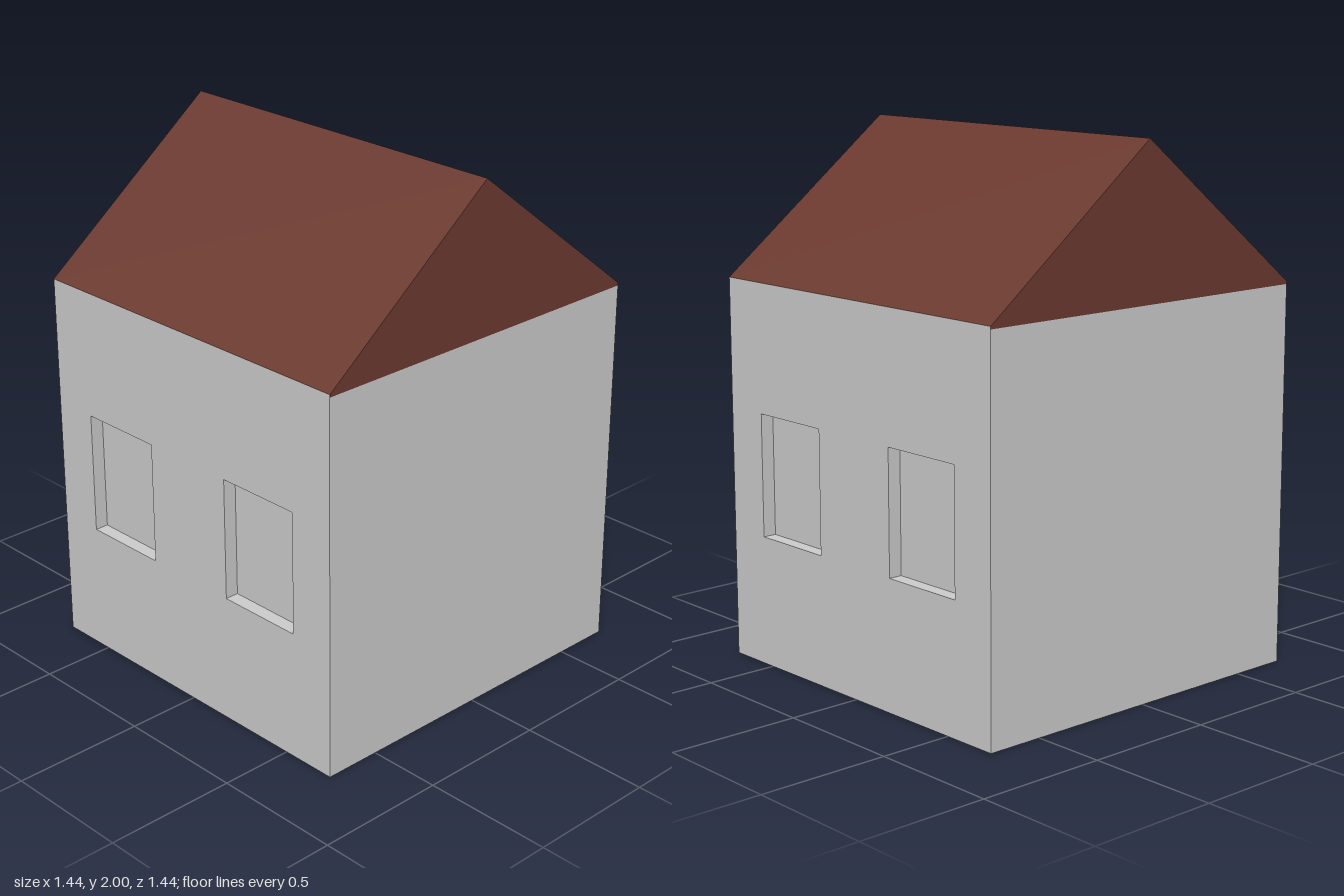
import * as THREE from 'three';
import { mergeGeometries } from 'three/addons/utils/BufferGeometryUtils.js';

const HALF = 0.72;          // half width and half depth of the house
const WALL_TOP = 1.442;
const GABLE_BASE = 1.432;
const RIDGE = 2;
const WINDOW = { z: 0.367, y: 0.724, w: 0.345, h: 0.465, depth: 0.052 };

// A flat panel facing +z, turned about x then y, then moved into place
function panel(w, h, [x, y, z], rx = 0, ry = 0) {
  return new THREE.PlaneGeometry(w, h).rotateX(rx).rotateY(ry).translate(x, y, z);
}

// Rectangle outline centred on (x, y)
function rect(Type, x, y, w, h) {
  const corners = [[-1, -1], [1, -1], [1, 1], [-1, 1]];
  return new Type(corners.map(([a, b]) => new THREE.Vector2(x + a * w / 2, y + b * h / 2)));
}

// Wall facing +z with two recessed windows
function windowWall() {
  const { z: offset, y, w, h, depth: d } = WINDOW;
  const shape = rect(THREE.Shape, 0, WALL_TOP / 2, HALF * 2, WALL_TOP);
  const recesses = [];
  for (const x of [-offset, offset]) {
    shape.holes.push(rect(THREE.Path, x, y, w, h));
    const mid = HALF - d / 2;
    recesses.push(
      panel(w, h, [x, y, HALF - d]),                              // pane
      panel(w, d, [x, y - h / 2, mid], -Math.PI / 2),             // sill
      panel(w, d, [x, y + h / 2, mid], Math.PI / 2),              // head
      panel(d, h, [x - w / 2, y, mid], 0, Math.PI / 2),           // jambs
      panel(d, h, [x + w / 2, y, mid], 0, -Math.PI / 2)
    );
  }
  const face = new THREE.ShapeGeometry(shape).translate(0, 0, HALF);
  return mergeGeometries([face, ...recesses]);
}

export function createModel() {
  const group = new THREE.Group();
  const wallMaterial = new THREE.MeshStandardMaterial({ color: 0xcccccc, flatShading: true });
  const roofMaterial = new THREE.MeshStandardMaterial({ color: 0x6b3a30, flatShading: true });
  const add = (name, geometry, material) => {
    const mesh = new THREE.Mesh(geometry, material);
    mesh.name = name;
    group.add(mesh);
    return mesh;
  };

  // Plain front and back walls, windowed side walls
  const plain = panel(HALF * 2, WALL_TOP, [0, WALL_TOP / 2, HALF]);
  const windowed = windowWall();
  add('frontWall', plain, wallMaterial);
  add('backWall', plain, wallMaterial).rotation.y = Math.PI;
  add('leftWall', windowed, wallMaterial).rotation.y = Math.PI / 2;
  add('rightWall', windowed, wallMaterial).rotation.y = -Math.PI / 2;

  // Underside
  add('floor', panel(HALF * 2, HALF * 2, [0, 0, 0], Math.PI / 2), wallMaterial);

  // Gabled roof, its ends a hair proud of the walls
  const eave = HALF - 0.0005;
  const end = HALF + 0.001;
  const profile = new THREE.Shape([
    [-eave, GABLE_BASE], [eave, GABLE_BASE], [eave, WALL_TOP], [0, RIDGE], [-eave, WALL_TOP]
  ].map(([x, y]) => new THREE.Vector2(x, y)));
  const roof = new THREE.ExtrudeGeometry(profile, { depth: end * 2, bevelEnabled: false });
  add('roof', roof.translate(0, 0, -end), roofMaterial);

  return group;
}
